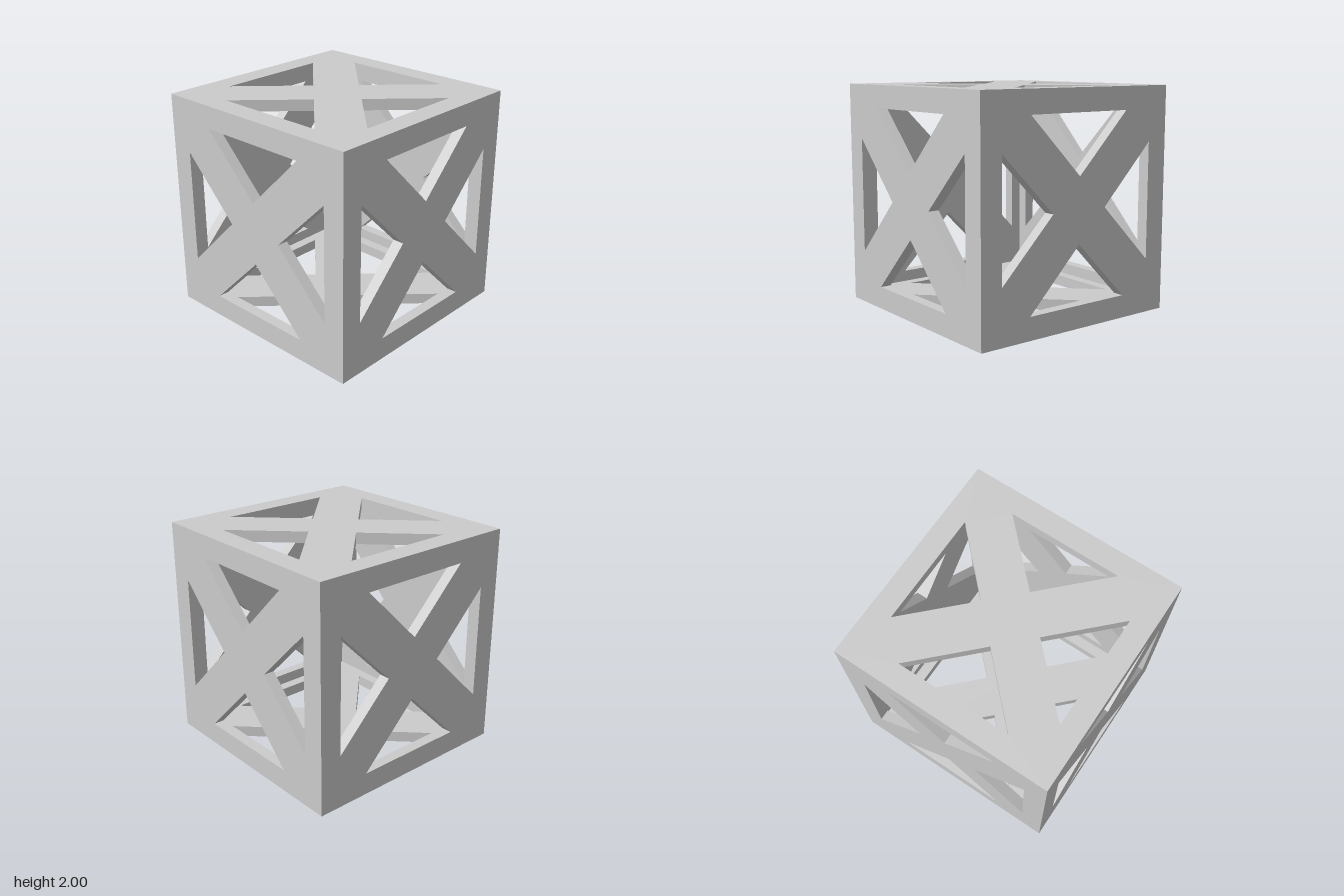
import * as THREE from 'three';

const HALF = 1;          // half the cube's edge
const WALL = 0.1;        // panel thickness
const FRAME = 0.2;       // border width
const BRACE = 0.4;       // width of the diagonal braces

// One square panel with an X brace, its rim mitred at 45 degrees to meet its neighbours
function panelGeometry() {
  const shape = new THREE.Shape([[-1, -1], [1, -1], [1, 1], [-1, 1]]
    .map(([x, y]) => new THREE.Vector2(x * HALF, y * HALF)));

  // Four triangular openings between the braces
  const edge = HALF - FRAME;
  const apex = BRACE / Math.SQRT2;
  for (let i = 0; i < 4; i++) {
    const corners = [[apex, 0], [edge, apex - edge], [edge, edge - apex]].reverse();
    shape.holes.push(new THREE.Path(corners.map(([x, y]) =>
      new THREE.Vector2(x, y).rotateAround(new THREE.Vector2(), i * Math.PI / 2))));
  }

  const geometry = new THREE.ExtrudeGeometry(shape, { depth: WALL, bevelEnabled: false });
  geometry.translate(0, 0, HALF - WALL);

  // Mitre: no point lies further out sideways than it does in depth
  const p = geometry.attributes.position;
  for (let i = 0; i < p.count; i++) {
    const z = p.getZ(i);
    p.setX(i, THREE.MathUtils.clamp(p.getX(i), -z, z));
    p.setY(i, THREE.MathUtils.clamp(p.getY(i), -z, z));
  }
  geometry.computeVertexNormals();
  return geometry;
}

export function createModel() {
  const group = new THREE.Group();
  group.name = 'bracedCube';
  const geometry = panelGeometry();
  const material = new THREE.MeshStandardMaterial({ color: 0xcccccc, flatShading: true });

  // Six panels around the hollow centre
  const q = Math.PI / 2;
  const panels = {
    frontPanel: [0, 0], leftPanel: [0, q], backPanel: [0, 2 * q],
    rightPanel: [0, -q], topPanel: [-q, 0], bottomPanel: [q, 0],
  };
  for (const [name, [rx, ry]] of Object.entries(panels)) {
    const mesh = new THREE.Mesh(geometry, material);
    mesh.name = name;
    mesh.rotation.set(rx, ry, 0);
    mesh.position.y = HALF;
    group.add(mesh);
  }
  return group;
}
